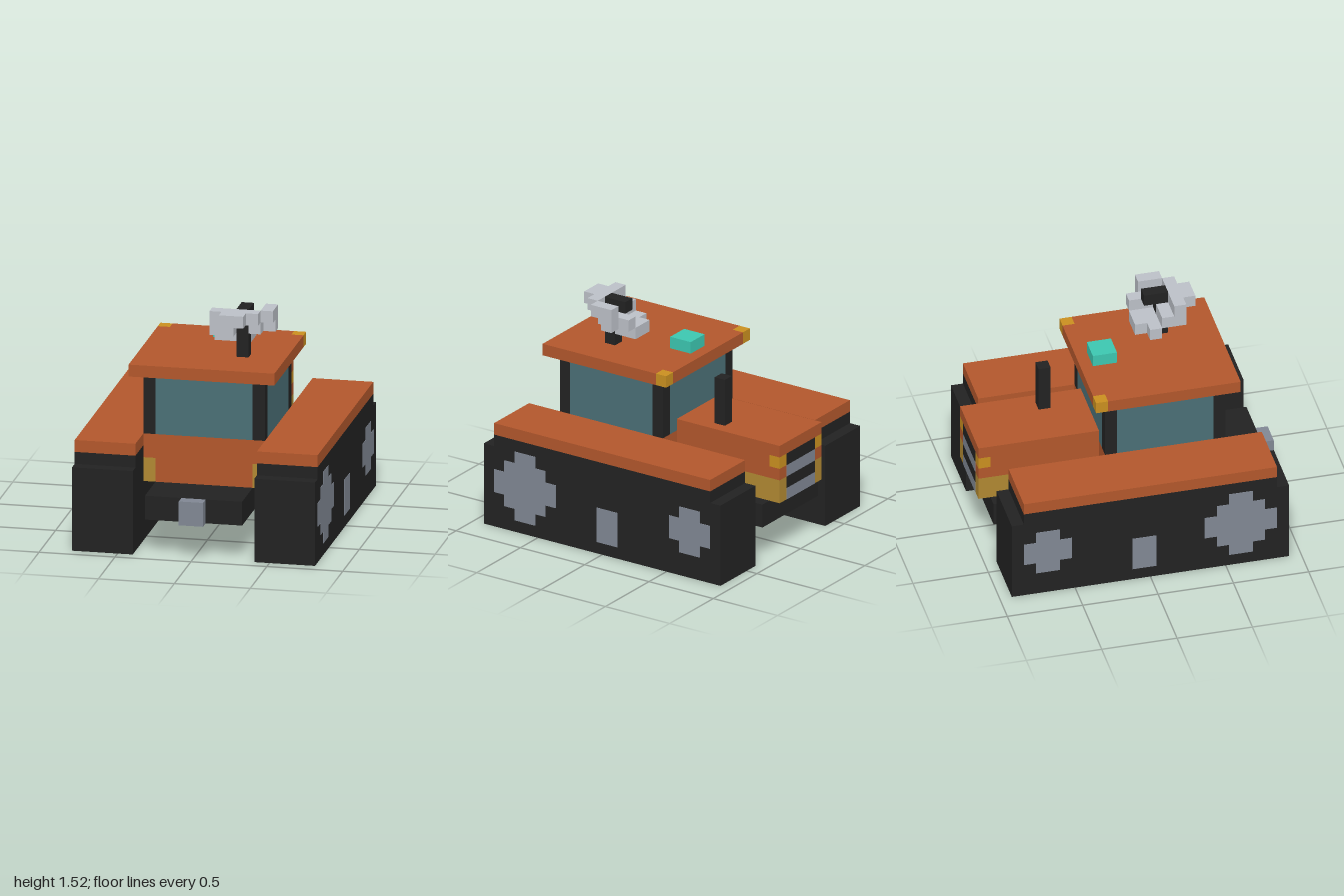
import * as THREE from 'three';

const U = 0.08; // block size

const mat = (name, color) => {
  const m = new THREE.MeshStandardMaterial({ color });
  m.name = name;
  return m;
};

export function createModel() {
  const M = {
    orange: mat('orange paint', 0xb2572c),
    black: mat('black rubber', 0x222222),
    glass: mat('tinted glass', 0x4a6f76),
    steel: mat('steel grey', 0x808793),
    dish: mat('light grey', 0xbcc0c7),
    teal: mat('teal', 0x3cc6b0),
    amber: mat('amber lamp', 0xc98f20),
    yellow: mat('dull yellow', 0xb08832),
  };
  const root = new THREE.Group();
  root.name = 'trackedTractor';

  // Box given by its bounds
  const box = (name, m, x0, x1, y0, y1, z0, z1, parent = root) => {
    const mesh = new THREE.Mesh(new THREE.BoxGeometry(x1 - x0, y1 - y0, z1 - z0), m);
    mesh.position.set((x0 + x1) / 2, (y0 + y1) / 2, (z0 + z1) / 2);
    mesh.name = name;
    parent.add(mesh);
    return mesh;
  };
  // Box repeated on both sides of x = 0
  const pair = (name, m, x0, x1, ...r) => {
    box(name + 'Left', m, x0, x1, ...r);
    box(name + 'Right', m, -x1, -x0, ...r);
  };

  // Tracks and fenders
  pair('track', M.black, 0.4, 0.8, 0, 0.56, -0.92, 0.92);
  pair('trackTop', M.black, 0.4, 0.8, 0.56, 0.64, -0.84, 0.84);
  pair('fender', M.orange, 0.4, 0.8, 0.64, 0.72, -0.84, 0.84);

  // Wheel faces: stepped discs made of rows [half width, y0, y1]
  const wheel = (name, z, rows) =>
    rows.forEach(([w, y0, y1]) => pair(name, M.steel, 0.797, 0.803, y0, y1, z - w, z + w));
  wheel('frontWheel', 0.6, [
    [0.08, 0.08, 0.16], [0.16, 0.16, 0.24], [0.24, 0.24, 0.4], [0.16, 0.4, 0.48], [0.08, 0.48, 0.56],
  ]);
  wheel('rearWheel', -0.68, [[0.08, 0.16, 0.24], [0.16, 0.24, 0.4], [0.08, 0.4, 0.48]]);
  wheel('middleRoller', -0.04, [[0.08, 0.08, 0.32]]);

  // Chassis and hitch
  box('chassis', M.black, -0.32, 0.32, 0.24, 0.4, -0.92, 0.92);
  box('hitch', M.steel, -0.08, 0.08, 0.24, 0.4, 0.92, 1);

  // Cab base with yellow lower sides
  box('cabBase', M.orange, -0.32, 0.32, 0.4, 0.56, -0.2, 0.6);
  pair('cabSkirt', M.yellow, 0.32, 0.4, 0.4, 0.56, -0.2, 0.6);
  box('cabBelt', M.orange, -0.4, 0.4, 0.56, 0.72, -0.2, 0.6);

  // Cab windows and corner pillars
  box('windowsFrontBack', M.glass, -0.32, 0.32, 0.72, 1.12, -0.2, 0.6);
  box('windowsSide', M.glass, -0.4, 0.4, 0.72, 1.12, -0.12, 0.52);
  pair('pillarFront', M.black, 0.32, 0.4, 0.72, 1.12, 0.52, 0.6);
  pair('pillarRear', M.black, 0.32, 0.4, 0.72, 1.12, -0.2, -0.12);

  // Roof with lamps set into the rear corners
  box('roof', M.orange, -0.48, 0.48, 1.12, 1.2, -0.2, 0.68);
  box('roofRear', M.orange, -0.4, 0.4, 1.12, 1.2, -0.28, -0.2);
  pair('roofLamp', M.amber, 0.4, 0.48, 1.12, 1.2, -0.28, -0.2);
  box('beacon', M.teal, -0.08, 0.08, 1.2, 1.28, -0.2, -0.04);

  // Hood with skirt, lamps and grille
  box('hoodSkirt', M.yellow, -0.24, 0.24, 0.4, 0.56, -1, -0.2);
  box('hoodSide', M.orange, -0.24, 0.24, 0.56, 0.64, -1, -0.2);
  box('hoodUpper', M.orange, -0.24, 0.24, 0.64, 0.72, -0.92, -0.2);
  box('hoodTop', M.orange, -0.24, 0.24, 0.72, 0.8, -1, -0.2);
  box('lampRow', M.amber, -0.24, 0.24, 0.64, 0.72, -1, -0.92);
  for (let i = 0; i < 4; i++) {
    const y = 0.4 + i * U;
    box('grilleBar', i % 2 ? M.black : M.steel, -0.16, 0.16, y, y + U, -1.002, -0.998);
  }
  box('exhaust', M.black, 0.08, 0.16, 0.8, 1.12, -0.52, -0.44);

  // Tilted roof dish: per layer, runs of blocks [row, first column, last column]
  const dish = new THREE.Group();
  dish.name = 'dish';
  root.add(dish);
  const layers = [
    [[0, 1, 2], [1, 0, 2]],
    [[0, 3, 3], [1, 3, 4], [2, 0, 1], [2, 3, 3], [3, 0, 1]],
    [[1, 4, 4], [2, 4, 4], [3, 0, 3], [4, 1, 2]],
  ];
  layers.forEach((runs, l) => runs.forEach(([r, a, b]) => {
    const y = 1.28 + l * U, z = 0.12 + r * U;
    box('dishBlocks', M.dish, a * U, (b + 1) * U, y, y + U, z, z + U, dish);
  }));
  box('dishMast', M.black, 0.16, 0.24, 1.2, 1.44, 0.28, 0.36, dish);
  box('dishReceiver', M.black, 0.16, 0.24, 1.44, 1.52, 0.2, 0.36, dish);

  return root;
}
